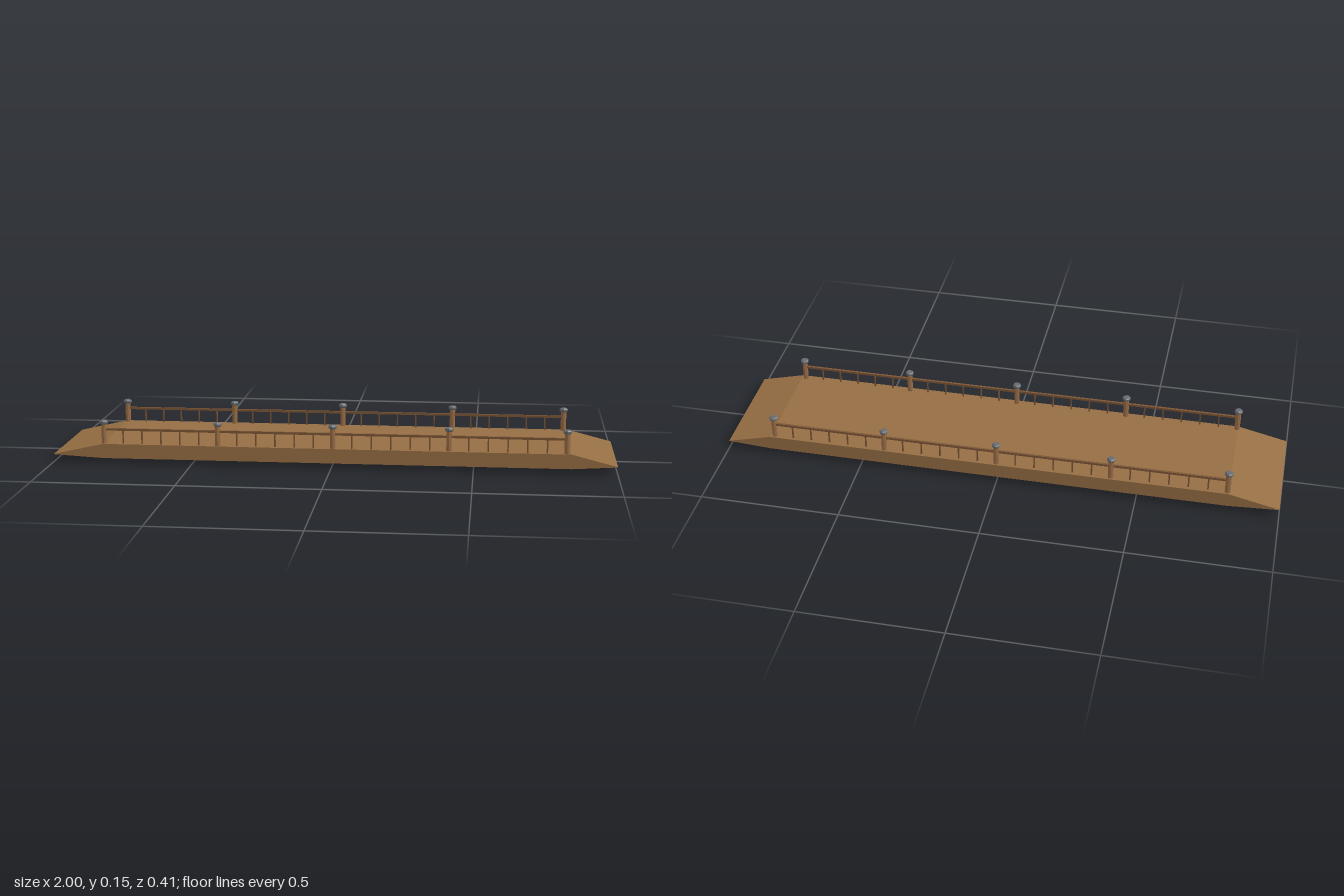
import * as THREE from 'three';

const deckWood = new THREE.MeshStandardMaterial({ name: 'deck wood', color: 0x966e43, flatShading: true });
const postWood = new THREE.MeshStandardMaterial({ name: 'post wood', color: 0x9a6d45, flatShading: true });
const railWood = new THREE.MeshStandardMaterial({ name: 'rail wood', color: 0x7d5636, flatShading: true });
const iron = new THREE.MeshStandardMaterial({ name: 'iron', color: 0x686c70, flatShading: true });

function add(parent, name, geometry, material, x, y, z) {
  const mesh = new THREE.Mesh(geometry, material);
  mesh.name = name;
  mesh.position.set(x, y, z);
  parent.add(mesh);
  return mesh;
}

// Deck skinned over five-point cross-sections: two top corners, two lower corners and a keel.
function deckGeometry() {
  const halfWidth = 0.202;
  const stations = [ // x, top, lower edge, keel
    [-1, 0.028, 0.027, 0.027],
    [-0.82, 0.069, 0.017, 0],
    [0.84, 0.069, 0.017, 0.016],
    [1, 0.028, 0.027, 0.027],
  ];
  const rings = stations.map(([x, top, low, keel]) => [
    [x, top, -halfWidth], [x, top, halfWidth], [x, low, halfWidth], [x, keel, 0], [x, low, -halfWidth],
  ]);
  const points = [];
  const tri = (a, b, c) => points.push(...a, ...b, ...c);
  for (let i = 0; i < rings.length - 1; i++) {
    for (let j = 0; j < 5; j++) {
      const k = (j + 1) % 5;
      const a = rings[i][j], b = rings[i][k], c = rings[i + 1][k], d = rings[i + 1][j];
      tri(a, b, c);
      tri(a, c, d);
    }
  }
  // End edges
  const first = rings[0], last = rings[rings.length - 1];
  for (let j = 1; j < 4; j++) {
    tri(first[0], first[j + 1], first[j]);
    tri(last[0], last[j], last[j + 1]);
  }
  const geometry = new THREE.BufferGeometry();
  geometry.setAttribute('position', new THREE.Float32BufferAttribute(points, 3));
  geometry.computeVertexNormals();
  return geometry;
}

export function createModel() {
  const model = new THREE.Group();
  model.name = 'footbridge';
  add(model, 'deck', deckGeometry(), deckWood, 0, 0, 0);

  const spacing = 0.41, bars = 6;
  const postGeometry = new THREE.CylinderGeometry(0.01, 0.01, 0.074, 8);
  const capGeometry = new THREE.LatheGeometry([
    [0, 0], [0.011, 0], [0.015, 0.004], [0.015, 0.01], [0.011, 0.014], [0, 0.014],
  ].map(([r, y]) => new THREE.Vector2(r, y)), 8);
  const barGeometry = new THREE.BoxGeometry(0.005, 0.054, 0.005);
  const railGeometry = new THREE.BoxGeometry(spacing * 4, 0.008, 0.008);

  // One railing along each side
  for (const side of [1, -1]) {
    const railing = new THREE.Group();
    railing.name = side > 0 ? 'frontRailing' : 'backRailing';
    railing.position.set(0.004, 0, side * 0.188);
    model.add(railing);
    add(railing, 'handrail', railGeometry, railWood, 0, 0.12, 0);
    for (let i = 0; i <= 4 * bars; i++) {
      const x = (i / bars - 2) * spacing;
      if (i % bars === 0) {
        add(railing, 'post', postGeometry, postWood, x, 0.103, 0);
        add(railing, 'postCap', capGeometry, iron, x, 0.139, 0);
      } else {
        add(railing, 'baluster', barGeometry, railWood, x, 0.093, 0);
      }
    }
  }
  return model;
}
